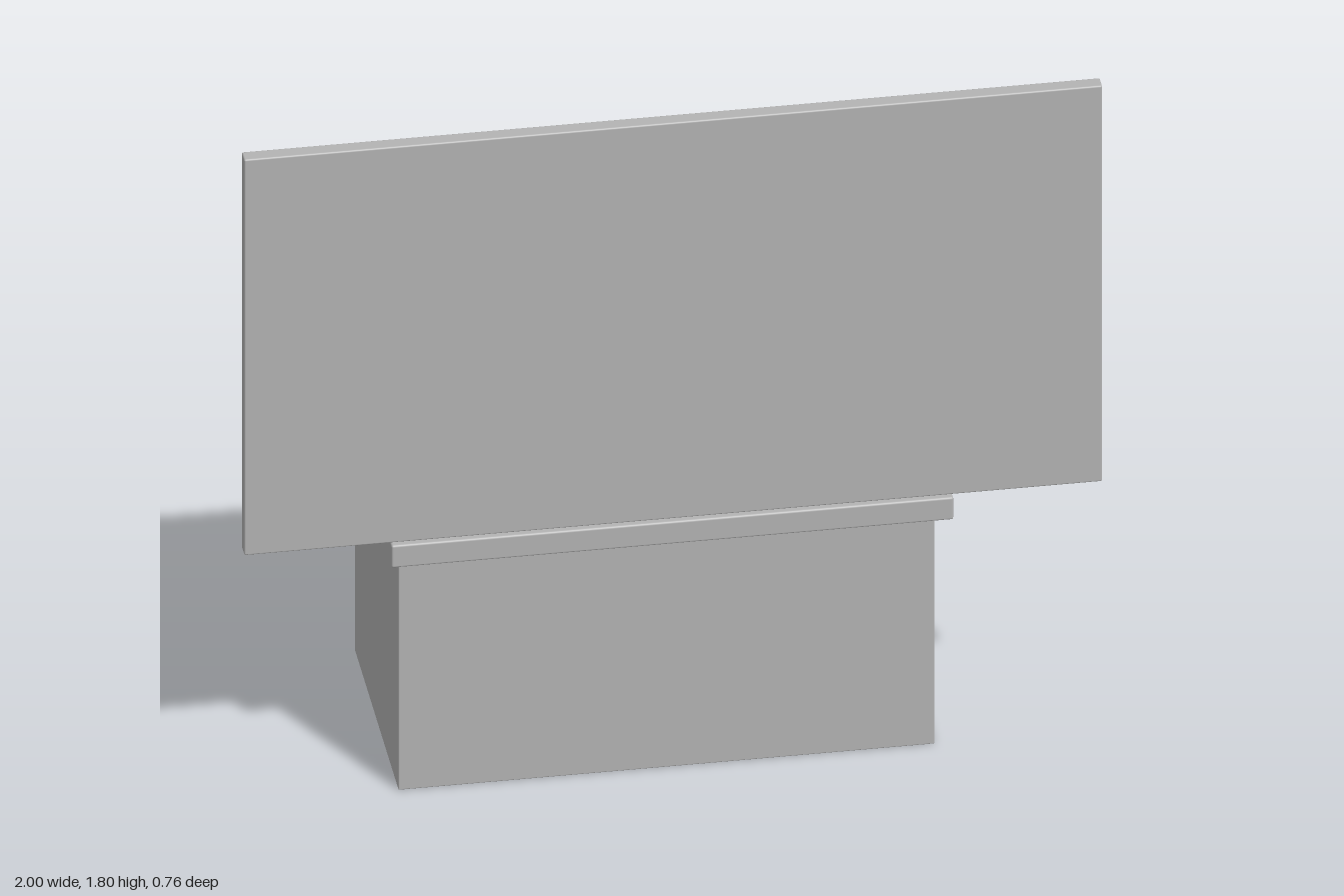
import * as THREE from 'three';
import { RoundedBoxGeometry } from 'three/addons/geometries/RoundedBoxGeometry.js';

export function createModel() {
  const model = new THREE.Group();
  model.name = 'washbasinUnit';
  const grey = new THREE.MeshStandardMaterial({ color: 0xb4b4b4 });
  grey.name = 'plain grey';

  const add = (name, geometry, parent = model) => {
    const mesh = new THREE.Mesh(geometry, grey);
    mesh.name = name;
    parent.add(mesh);
    return mesh;
  };
  const group = (name) => {
    const g = new THREE.Group();
    g.name = name;
    model.add(g);
    return g;
  };
  // Rounded box given by its minimum and maximum on each axis
  const box = (name, [x0, x1], [y0, y1], [z0, z1], r, parent) => {
    const mesh = add(name, new RoundedBoxGeometry(x1 - x0, y1 - y0, z1 - z0, r > 0.01 ? 5 : 2, r), parent);
    mesh.position.set((x0 + x1) / 2, (y0 + y1) / 2, (z0 + z1) / 2);
    return mesh;
  };
  // Tapered rod between two points
  const rod = (name, a, b, ra, rb, parent) => {
    const from = new THREE.Vector3(...a), to = new THREE.Vector3(...b);
    const dir = to.clone().sub(from);
    const mesh = add(name, new THREE.CylinderGeometry(rb, ra, dir.length(), 24), parent);
    mesh.position.copy(from).add(to).multiplyScalar(0.5);
    mesh.quaternion.setFromUnitVectors(new THREE.Vector3(0, 1, 0), dir.normalize());
    return mesh;
  };

  // Wall mirror, cabinet, drawer and counter
  box('mirror', [-1, 1], [0.73, 1.8], [0.343, 0.38], 0.004);
  box('cabinet', [-0.625, 0.625], [0, 0.66], [-0.335, 0.285], 0.003);
  box('drawerFront', [-0.608, 0.608], [0.02, 0.608], [-0.345, -0.325], 0.004);
  box('counter', [-0.655, 0.655], [0.655, 0.715], [-0.378, 0.37], 0.005);

  // Oval basin rim
  const rimShape = new THREE.Shape().absellipse(0, 0, 0.308, 0.222, 0, Math.PI * 2);
  rimShape.holes.push(new THREE.Path().absellipse(0, 0, 0.27, 0.184, 0, Math.PI * 2));
  const rim = add('basinRim', new THREE.ExtrudeGeometry(rimShape, {
    depth: 0.005, bevelSize: 0.003, bevelThickness: 0.002, bevelSegments: 2, curveSegments: 64,
  }));
  rim.rotation.x = -Math.PI / 2;
  rim.position.set(0, 0.714, -0.045);

  // Faucet
  const faucet = group('faucet');
  const base = [[0, 0], [0.027, 0], [0.027, 0.014], [0.023, 0.02], [0, 0.02]];
  add('faucetBase', new THREE.LatheGeometry(base.map((p) => new THREE.Vector2(...p)), 32), faucet)
    .position.set(0, 0.715, 0.222);
  rod('faucetPost', [0, 0.73, 0.222], [0, 0.955, 0.222], 0.02, 0.014, faucet);
  rod('faucetSpout', [0, 0.953, 0.236], [0, 0.979, 0.056], 0.014, 0.012, faucet);
  rod('faucetNozzle', [0, 0.945, 0.063], [0, 0.977, 0.06], 0.014, 0.014, faucet);
  rod('faucetLever', [0, 0.825, 0.222], [-0.165, 0.85, 0.222], 0.008, 0.005, faucet);

  // Paper towel dispenser
  const towels = group('towelDispenser');
  box('towelCase', [-0.715, -0.415], [0.86, 1.115], [0.212, 0.346], 0.035, towels);
  box('towelOutlet', [-0.655, -0.475], [0.84, 0.88], [0.23, 0.345], 0.008, towels);
  box('towelWindow', [-0.57, -0.56], [0.975, 1.03], [0.208, 0.216], 0.003, towels);

  // Soap dispenser
  const soap = group('soapDispenser');
  box('soapCase', [0.46, 0.585], [0.845, 1.06], [0.238, 0.346], 0.025, soap);
  box('soapPushBar', [0.485, 0.56], [0.855, 0.895], [0.225, 0.26], 0.006, soap);
  rod('soapButton', [0.522, 0.985, 0.245], [0.522, 0.985, 0.234], 0.01, 0.008, soap);

  return model;
}
